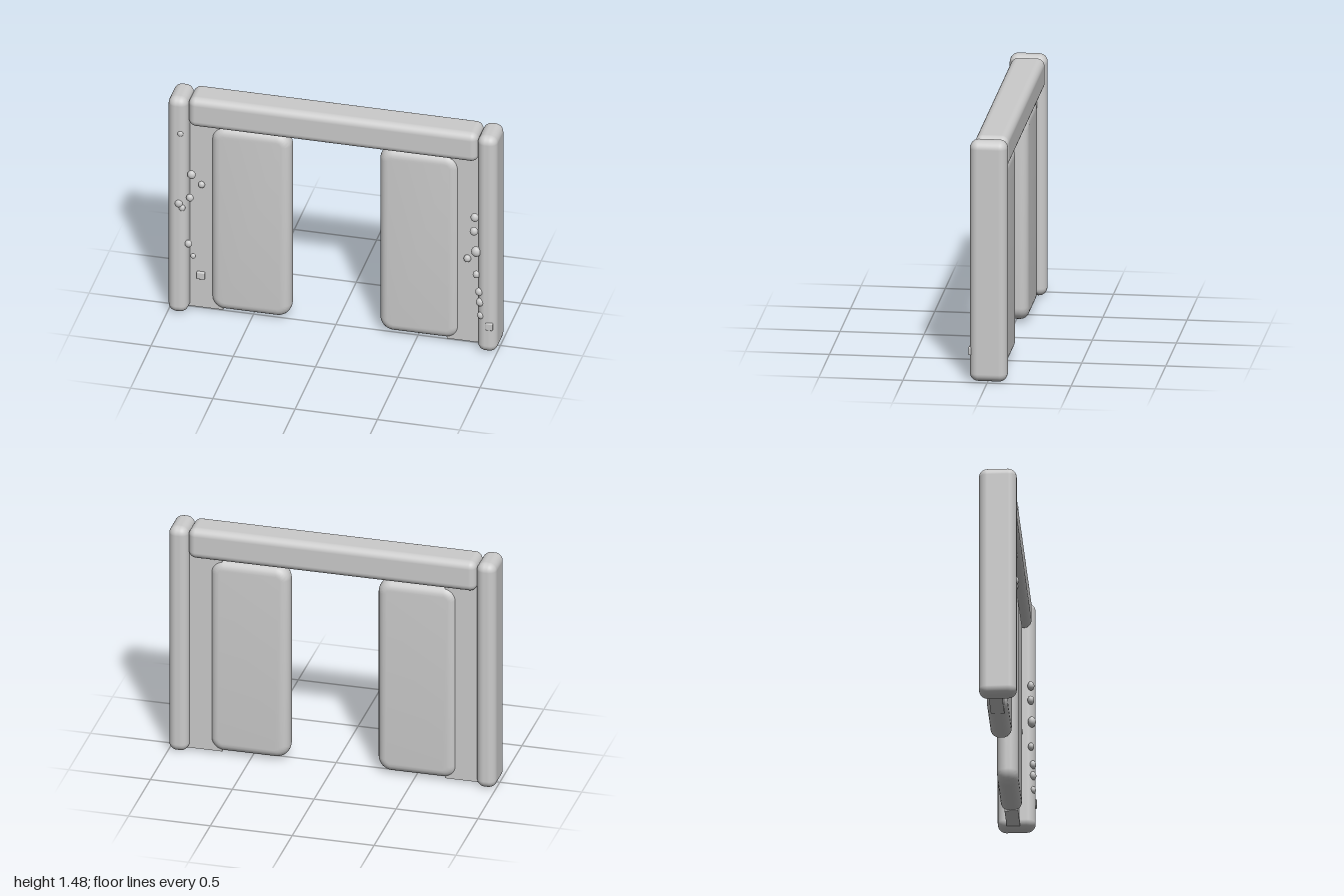
import * as THREE from 'three';
import { RoundedBoxGeometry } from 'three/addons/geometries/RoundedBoxGeometry.js';
import { toCreasedNormals } from 'three/addons/utils/BufferGeometryUtils.js';

const material = new THREE.MeshStandardMaterial({ color: 0xcccccc });

function add(parent, name, geometry, x = 0, y = 0, z = 0) {
  const mesh = new THREE.Mesh(geometry, material);
  mesh.name = name;
  mesh.position.set(x, y, z);
  parent.add(mesh);
  return mesh;
}

// Box given by its minimum and maximum corners, with rounded edges
function roundedBar(parent, name, min, max, radius) {
  const size = max.map((v, i) => v - min[i]);
  const mid = max.map((v, i) => (v + min[i]) / 2);
  return add(parent, name, new RoundedBoxGeometry(...size, 5, radius), ...mid);
}

// Upright slab with rounded corners and a soft bullnose rim
function slabGeometry(width, height, depth, corner, bevel) {
  const w = width / 2 - bevel, h = height / 2 - bevel, r = corner - bevel;
  const shape = new THREE.Shape();
  shape.absarc(w - r, h - r, r, 0, Math.PI / 2);
  shape.absarc(-w + r, h - r, r, Math.PI / 2, Math.PI);
  shape.absarc(-w + r, -h + r, r, Math.PI, Math.PI * 1.5);
  shape.absarc(w - r, -h + r, r, Math.PI * 1.5, Math.PI * 2);
  const geometry = new THREE.ExtrudeGeometry(shape, {
    depth: depth - 2 * bevel, bevelEnabled: true, bevelSize: bevel,
    bevelThickness: bevel, bevelSegments: 6, curveSegments: 6,
  });
  geometry.center();
  return toCreasedNormals(geometry, 0.6);
}

export function createModel() {
  const model = new THREE.Group();
  model.name = 'doorway';

  // Lintel across the top
  roundedBar(model, 'lintel', [-0.88, 1.28, -0.11], [0.88, 1.475, 0.09], 0.045);

  // Posts, side panels and half-open sliding doors
  const doorGeometry = slabGeometry(0.485, 1.255, 0.125, 0.085, 0.055);
  for (const [side, s] of [['left', 1], ['right', -1]]) {
    const half = new THREE.Group();
    half.name = `${side}Side`;
    model.add(half);
    roundedBar(half, `${side}Post`, [s * 0.94 - 0.06, 0, -0.115], [s * 0.94 + 0.06, 1.475, 0.108], 0.05);
    add(half, `${side}SidePanel`, new THREE.BoxGeometry(0.24, 1.3, 0.08), s * 0.8, 0.665, -0.02);
    add(half, `${side}Door`, doorGeometry, s * 0.512, 0.645, -0.02);
  }

  // Small pebbly lumps stuck to the posts and panels: x, y, z, radius
  const lumps = [
    [-0.92, 1.24, 0.102, 0.018], [-0.855, 0.96, 0.09, 0.025], [-0.81, 0.86, 0.025, 0.02],
    [-0.865, 0.8, 0.09, 0.022], [-0.93, 0.76, 0.1, 0.025], [-0.91, 0.73, 0.1, 0.02],
    [-0.875, 0.48, 0.085, 0.022], [-0.85, 0.39, 0.07, 0.016],
    [0.865, 0.91, 0.085, 0.025], [0.86, 0.815, 0.085, 0.025], [0.875, 0.68, 0.09, 0.03],
    [0.805, 0.585, 0.025, 0.022], [0.875, 0.52, 0.085, 0.022], [0.895, 0.41, 0.095, 0.024],
    [0.9, 0.34, 0.095, 0.025], [0.905, 0.25, 0.095, 0.022],
  ];
  const pebble = new THREE.IcosahedronGeometry(1, 2);
  for (const [x, y, z, r] of lumps) {
    add(model, 'lump', pebble, x, y, z).scale.set(r, r * 1.1, r * 0.8);
  }

  // Squarish chips low on each side
  roundedBar(model, 'chip', [-0.84, 0.21, 0.01], [-0.79, 0.26, 0.035], 0.008);
  roundedBar(model, 'chip', [0.935, 0.16, 0.08], [0.98, 0.21, 0.115], 0.008);

  return model;
}
